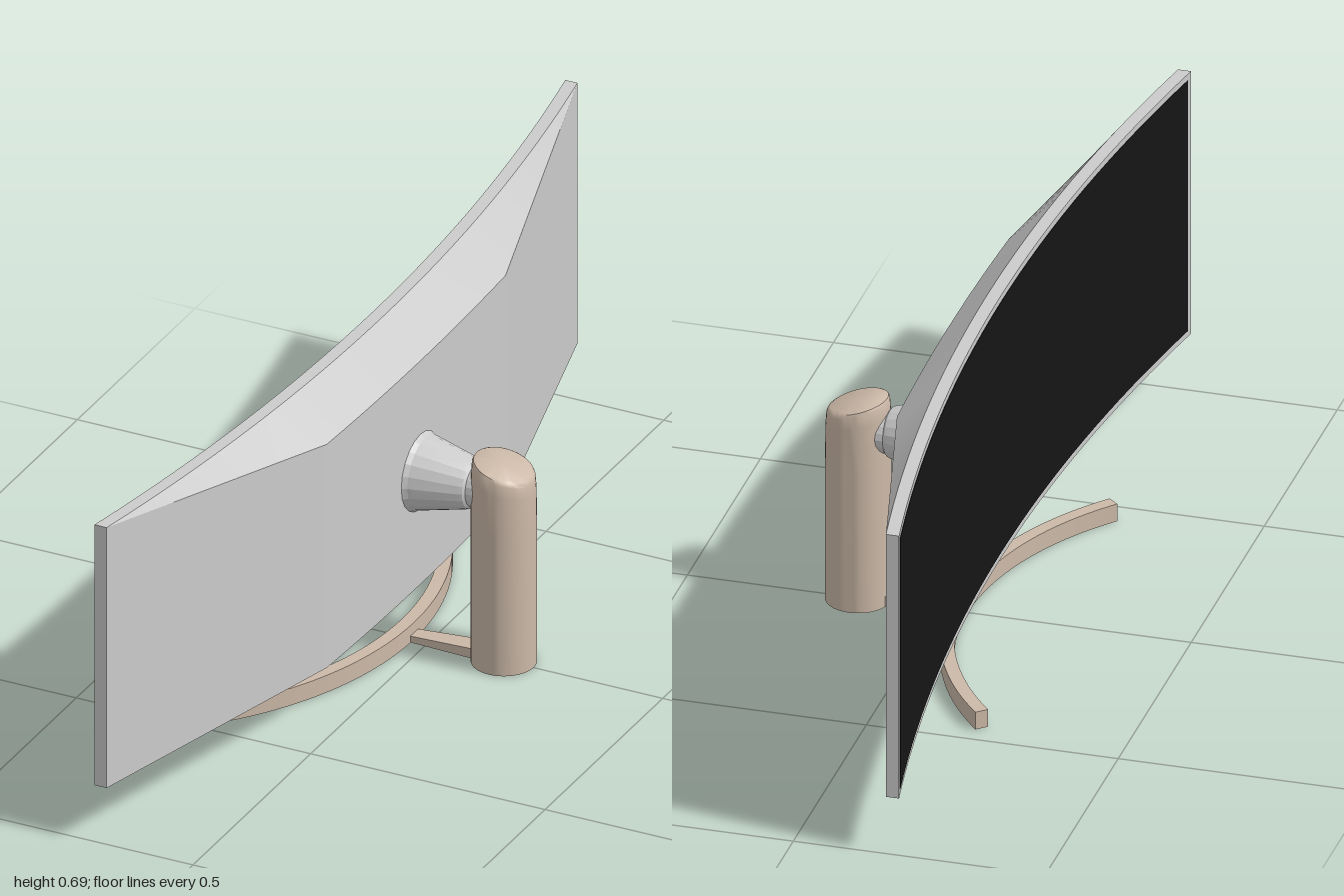
import * as THREE from 'three';
import { toCreasedNormals } from 'three/addons/utils/BufferGeometryUtils.js';

const grey = new THREE.MeshStandardMaterial({ color: 0xcccccc });
const tan = new THREE.MeshStandardMaterial({ color: 0xccb9a8 });
const black = new THREE.MeshStandardMaterial({ color: 0x151515 });

const BOTTOM = 0.122, TOP = 0.686, KINK = 0.38;
const frontX = (z) => -0.12 - 0.09 * z * z; // curve of the display face

// Skin a closed cross-section (counter-clockwise in x, y) along z
function loft(zs, section, crease) {
  const pos = [];
  const rings = zs.map((z) => section(z).map(([x, y]) => [x, y, z]));
  const tri = (a, b, c) => pos.push(...a, ...b, ...c);
  const n = rings[0].length;
  for (let k = 0; k < rings.length - 1; k++) {
    const a = rings[k], b = rings[k + 1];
    for (let i = 0; i < n; i++) {
      const j = (i + 1) % n;
      tri(a[i], a[j], b[j]);
      tri(a[i], b[j], b[i]);
    }
  }
  const first = rings[0], last = rings[rings.length - 1];
  for (let i = 1; i < n - 1; i++) {
    tri(first[0], first[i + 1], first[i]);
    tri(last[0], last[i], last[i + 1]);
  }
  const geo = new THREE.BufferGeometry();
  geo.setAttribute('position', new THREE.Float32BufferAttribute(pos, 3));
  return toCreasedNormals(geo, crease);
}

// Evenly spaced stations, with the shell's kinks included exactly
function stations(half) {
  const zs = [];
  for (let i = 0; i <= 10; i++) zs.push(-half + ((half - KINK) * i) / 10);
  for (let i = 1; i < 12; i++) zs.push(-KINK + (2 * KINK * i) / 12);
  for (let i = 0; i <= 10; i++) zs.push(KINK + ((half - KINK) * i) / 10);
  return zs;
}

// Housing: curved rim, bulging back and a sloped top bevel
function shellSection(z) {
  const a = Math.abs(z), f = frontX(z), rim = f + 0.026;
  const t = Math.max(0, (a - KINK) / (1 - KINK));
  const back = a <= KINK ? -0.017 - 0.062 * z * z : THREE.MathUtils.lerp(-0.026, -0.184, t);
  const backTop = THREE.MathUtils.lerp(0.606, TOP, t);
  return [[f, BOTTOM], [back, BOTTOM], [back, backTop], [rim, TOP], [f, TOP]];
}

function screenSection(z) {
  const f = frontX(z), b = BOTTOM + 0.013, t = TOP - 0.013;
  return [[f - 0.001, b], [f + 0.004, b], [f + 0.004, t], [f - 0.001, t]];
}

const lathe = (pts, sides) =>
  new THREE.LatheGeometry(pts.map(([r, y]) => new THREE.Vector2(r, y)), sides);

export function createModel() {
  const model = new THREE.Group();
  model.name = 'curvedMonitor';
  const add = (name, geo, mat) => {
    const mesh = new THREE.Mesh(geo, mat);
    mesh.name = name;
    model.add(mesh);
    return mesh;
  };

  add('housing', loft(stations(1), shellSection, 0.14), grey);
  add('screen', loft(stations(0.985), screenSection, 0.5), black);

  // Tapered neck between housing and column
  const neck = lathe([
    [0.083, -0.022], [0.079, -0.015], [0.075, -0.007], [0.0735, 0.0],
    [0.052, 0.088], [0.049, 0.096], [0.044, 0.1], [0.044, 0.12],
  ], 20);
  neck.rotateZ(-Math.PI / 2);
  add('neck', toCreasedNormals(neck, 0.25), grey).position.y = 0.367;

  // Round column, its top sheared to a slope
  const column = lathe([
    [0, 0], [0.0635, 0], [0.0635, 0.3], [0.0625, 0.39], [0.061, 0.415],
    [0.058, 0.422], [0.053, 0.425], [0, 0.425],
  ], 40);
  const cp = column.attributes.position;
  for (let i = 0; i < cp.count; i++) {
    if (cp.getY(i) > 0.35) cp.setY(i, cp.getY(i) - 0.27 * cp.getX(i));
  }
  add('column', toCreasedNormals(column, 0.6), tan).position.x = 0.161;

  // Arched foot
  const R = 0.692, sweep = 0.727;
  const arc = new THREE.Shape();
  arc.absarc(0, 0, R, -sweep, sweep, false);
  arc.absarc(0, 0, R - 0.027, sweep, -sweep, true);
  arc.closePath();
  const foot = new THREE.ExtrudeGeometry(arc, { depth: 0.037, bevelEnabled: false, curveSegments: 28 });
  foot.rotateX(-Math.PI / 2);
  add('foot', toCreasedNormals(foot, 0.5), tan).position.x = -0.03 - R;

  // Wedge-shaped bar joining foot and column
  const bar = new THREE.BoxGeometry(0.16, 1, 1);
  const bp = bar.attributes.position;
  for (let i = 0; i < bp.count; i++) {
    const rear = bp.getX(i) > 0;
    bp.setY(i, bp.getY(i) > 0 ? (rear ? 0.023 : 0.014) : 0.001);
    bp.setZ(i, bp.getZ(i) * (rear ? 0.045 : 0.032));
  }
  bar.computeVertexNormals();
  add('footBar', bar, tan).position.x = 0.04;

  return model;
}
